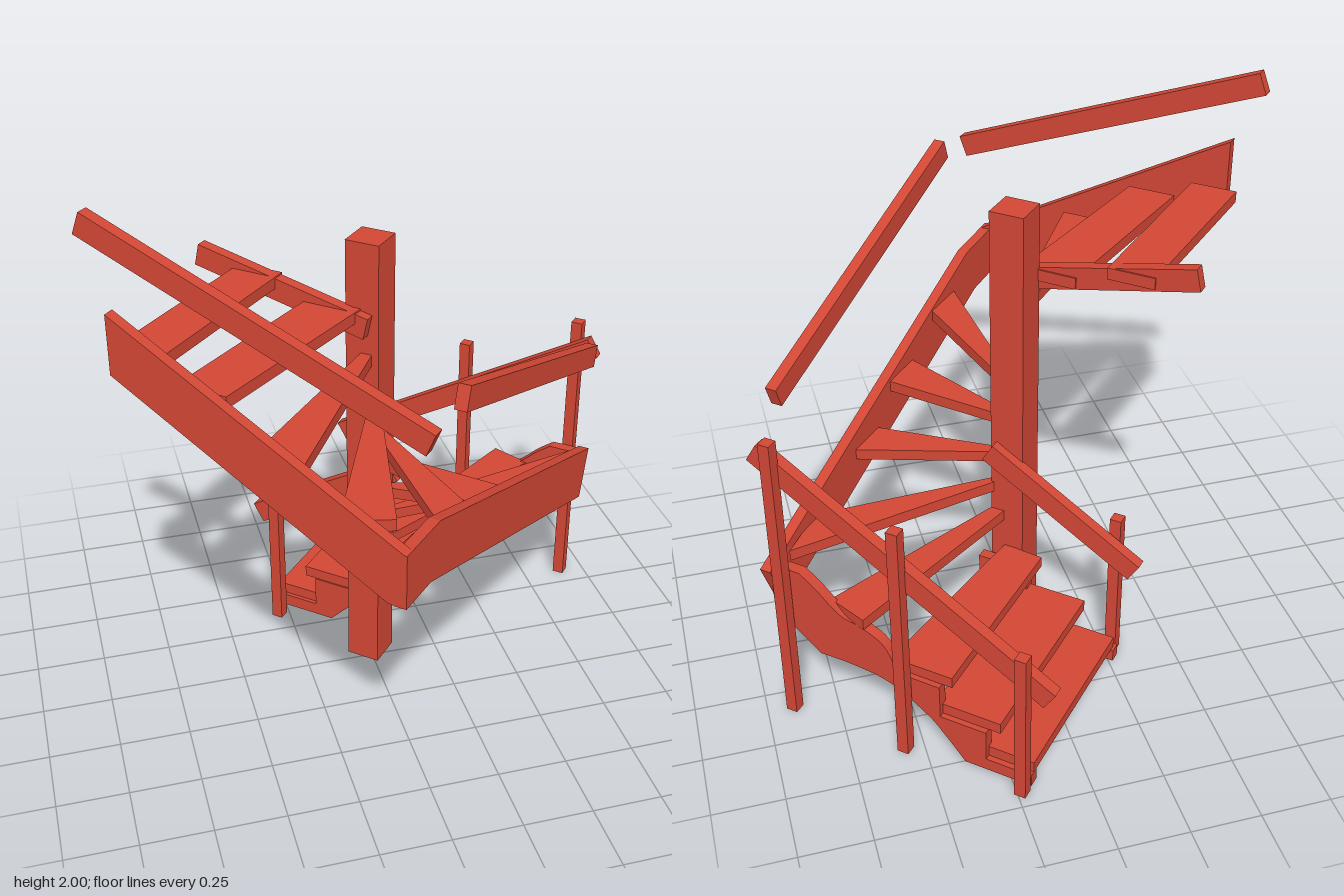
import * as THREE from 'three';

export function createModel() {
  const model = new THREE.Group();
  model.name = 'windingStaircase';
  const stair = new THREE.Group();
  stair.name = 'staircase';
  // Plan axes: local x runs along the flights, local z across them.
  stair.rotation.y = -0.733;
  stair.position.set(0.005, 0, -0.045);
  model.add(stair);

  const red = new THREE.MeshStandardMaterial({ color: 0xd24735, flatShading: true });
  red.name = 'red';

  const add = (name, geometry) => {
    const mesh = new THREE.Mesh(geometry, red);
    mesh.name = name;
    stair.add(mesh);
    return mesh;
  };
  const polygon = (points) => new THREE.Shape(points.map(([x, y]) => new THREE.Vector2(x, y)));
  const extrude = (shape, depth) =>
    new THREE.ExtrudeGeometry(shape, { depth, bevelEnabled: false, curveSegments: 6 });
  const vecs = (points) => points.map(([x, y]) => new THREE.Vector2(x, y));

  // Upright square post standing on the ground
  const post = (name, x, z, size, height) =>
    add(name, new THREE.BoxGeometry(size, height, size)).position.set(x, height / 2, z);

  // Rectangular bar between two centre points
  const rail = (name, from, to) => {
    const a = new THREE.Vector3(...from), b = new THREE.Vector3(...to);
    const mesh = add(name, new THREE.BoxGeometry(0.042, 0.08, a.distanceTo(b)));
    mesh.position.copy(a).lerp(b, 0.5);
    mesh.lookAt(0, 0, 0);
    const dir = b.clone().sub(a).normalize();
    const side = new THREE.Vector3(0, 1, 0).cross(dir).normalize();
    const up = dir.clone().cross(side);
    mesh.quaternion.setFromRotationMatrix(new THREE.Matrix4().makeBasis(side, up, dir));
  };

  // Central column and baluster posts
  post('column', 0, 0, 0.125, 1.72);
  post('outerPost1', -0.428, -0.815, 0.042, 0.61);
  post('outerPost2', 0.02, -0.815, 0.042, 0.96);
  post('outerPost3', 0.475, -0.815, 0.042, 1.155);
  post('innerPost', -0.42, -0.028, 0.042, 0.61);

  // Handrails
  rail('lowerOuterHandrail', [-0.515, 0.44, -0.778], [0.555, 1.08, -0.778]);
  rail('lowerInnerHandrail', [-0.515, 0.44, -0.077], [0.06, 0.785, -0.077]);
  rail('middleHandrail', [0.605, 1.15, -0.58], [0.605, 1.565, 0.61]);
  rail('upperOuterHandrail', [0.6, 1.51, 0.795], [-0.565, 1.963, 0.795]);
  rail('upperInnerHandrail', [0.03, 1.425, 0.077], [-0.625, 1.57, 0.077]);

  // Treads: [bottom height, plan outline as x, z]
  const treads = [
    [0.064, [[-0.45, -0.09], [-0.45, -0.77], [-0.256, -0.77], [-0.256, -0.09]]],
    [0.186, [[-0.325, -0.08], [-0.325, -0.77], [-0.08, -0.77], [-0.08, -0.08]]],
    [0.318, [[-0.145, -0.07], [-0.145, -0.77], [0.087, -0.77], [0.01, -0.06]]],
    [0.475, [[0.01, -0.05], [0.17, -0.8], [0.323, -0.755], [0.06, -0.05]]],
    [0.594, [[0.05, -0.06], [0.5, -0.72], [0.53, -0.51], [0.05, -0.02]]],
    [0.71, [[0.05, -0.035], [0.52, -0.25], [0.52, -0.09], [0.05, 0]]],
    [0.853, [[0.05, -0.005], [0.52, 0.011], [0.52, 0.18], [0.05, 0.03]]],
    [0.98, [[0.055, 0.03], [0.52, 0.345], [0.52, 0.52], [0.04, 0.055]]],
    [1.108, [[0.06, 0.05], [0.444, 0.704], [0.29, 0.79], [0.03, 0.055]]],
    [1.272, [[0.035, 0.055], [0.176, 0.79], [0.006, 0.79], [-0.005, 0.055]]],
    [1.438, [[-0.003, 0.05], [-0.09, 0.785], [-0.268, 0.785], [-0.2, 0.05]]],
    [1.505, [[-0.312, 0.05], [-0.332, 0.78], [-0.503, 0.78], [-0.48, 0.05]]],
  ];
  treads.forEach(([y, outline], i) => {
    const geometry = extrude(polygon(outline.map(([x, z]) => [x, -z])), 0.042);
    add('tread' + (i + 1), geometry.rotateX(-Math.PI / 2)).position.y = y;
  });

  // Lower stringers: stepped on top, arched below
  const outer = new THREE.Shape();
  outer.moveTo(-0.45, 0.016);
  outer.lineTo(-0.2, 0.016);
  outer.splineThru(vecs([[-0.13, 0.1], [-0.057, 0.175], [0.086, 0.262], [0.229, 0.285], [0.357, 0.285]]));
  outer.lineTo(0.53, 0.424);
  outer.lineTo(0.54, 0.62);
  outer.lineTo(0.42, 0.62);
  outer.splineThru(vecs([[0.36, 0.575], [0.27, 0.495], [0.18, 0.468], [0.1, 0.42], [0.05, 0.32]]));
  for (const [x, y] of [[-0.107, 0.318], [-0.107, 0.186], [-0.28, 0.186], [-0.28, 0.064], [-0.45, 0.064]])
    outer.lineTo(x, y);
  add('lowerOuterStringer', extrude(outer, 0.04)).position.z = -0.79;

  const inner = new THREE.Shape();
  inner.moveTo(-0.46, 0.016);
  inner.lineTo(-0.21, 0.016);
  inner.splineThru(vecs([[-0.13, 0.1], [-0.057, 0.175], [0.09, 0.25]]));
  for (const [x, y] of [[0.09, 0.318], [-0.107, 0.318], [-0.107, 0.186], [-0.28, 0.186], [-0.28, 0.064], [-0.46, 0.064]])
    inner.lineTo(x, y);
  add('lowerInnerStringer', extrude(inner, 0.04)).position.z = -0.115;

  // Middle stringer beside the winders
  const middle = polygon([
    [0.865, 1.15], [0.63, 1.135], [-0.82, 0.61], [-0.748, 0.424], [0.69, 0.945], [0.865, 0.957],
  ]);
  add('middleStringer', extrude(middle, 0.04).rotateY(-Math.PI / 2)).position.x = 0.555;

  // Upper stringer
  const upper = polygon([[0.55, 1.148], [-0.452, 1.71], [-0.452, 1.505], [0.494, 0.96], [0.55, 0.957]]);
  add('upperStringer', extrude(upper, 0.04)).position.z = 0.825;

  return model;
}
